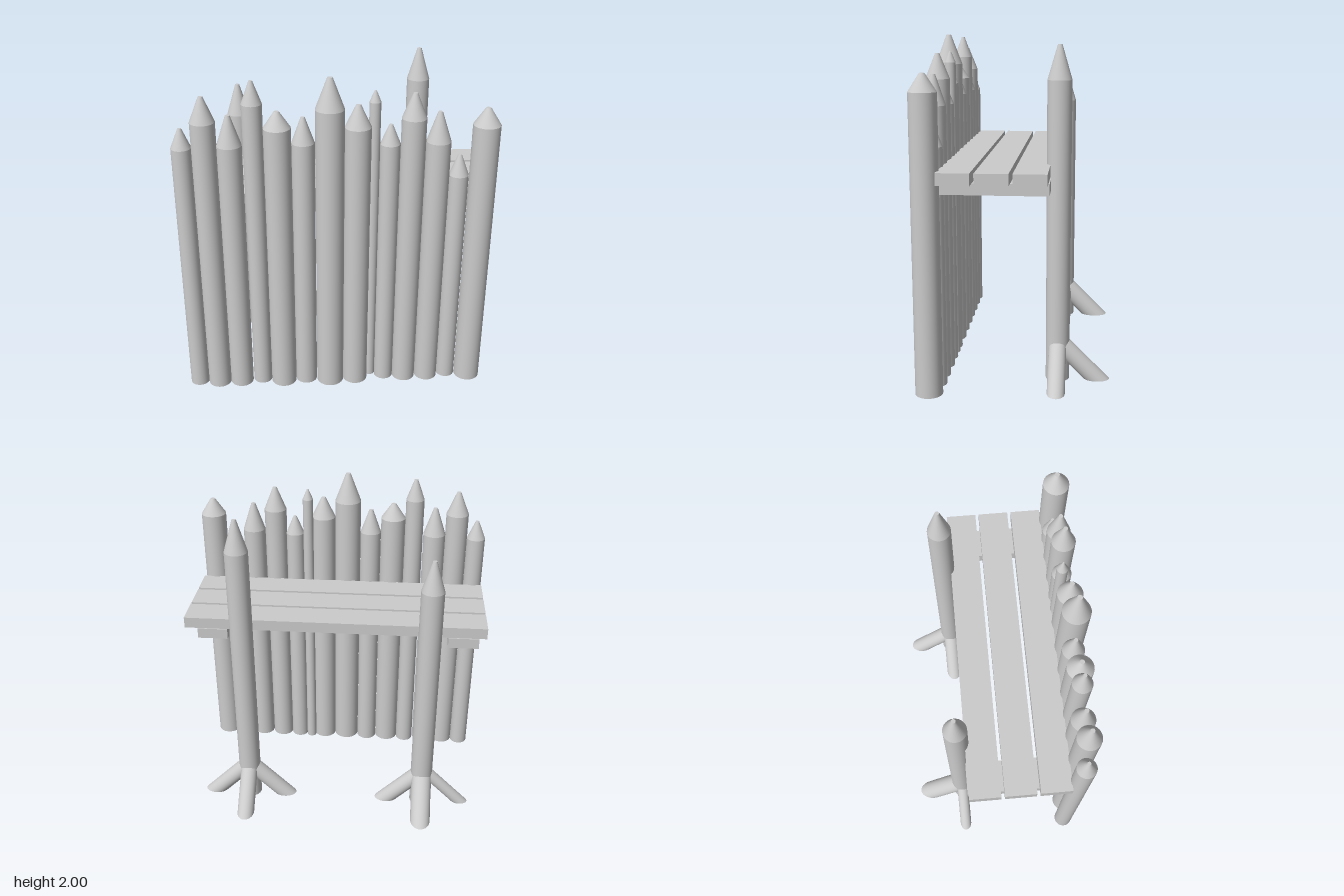
import * as THREE from 'three';
import { mergeGeometries } from 'three/addons/utils/BufferGeometryUtils.js';

const material = new THREE.MeshStandardMaterial({ color: 0xcccccc, side: THREE.DoubleSide });
const SIDES = 32;

function addMesh(parent, name, geometry, x, y, z) {
  const mesh = new THREE.Mesh(geometry, material);
  mesh.name = name;
  mesh.position.set(x, y, z);
  parent.add(mesh);
  return mesh;
}

// Hollow-bottomed log: straight shaft, tapered point, tiny blunt tip
function sharpenedLog(r, shoulder, tip) {
  const tipR = r * 0.18;
  const shaft = new THREE.CylinderGeometry(r, r, shoulder, SIDES, 1, true).translate(0, shoulder / 2, 0);
  const point = new THREE.CylinderGeometry(tipR, r, tip - shoulder, SIDES, 1, true)
    .translate(0, (tip + shoulder) / 2, 0);
  const end = new THREE.CircleGeometry(tipR, SIDES).rotateX(-Math.PI / 2).translate(0, tip, 0);
  return mergeGeometries([shaft, point, end]);
}

// 45 degree round strut along +x: cut level at the ground, upright at the post axis
function strut(r, reach) {
  const g = new THREE.CylinderGeometry(1, 1, 1, SIDES, 1, true, -Math.PI / 2);
  const p = g.attributes.position;
  for (let i = 0; i < p.count; i++) {
    const d = reach + Math.SQRT2 * r * (p.getX(i) - 1);
    const top = p.getY(i) > 0;
    p.setXYZ(i, top ? 0 : d, top ? d : 0, r * p.getZ(i));
  }
  g.computeVertexNormals();
  return g;
}

export function createModel() {
  const model = new THREE.Group();
  model.name = 'palisade';

  // Wall of logs, all flush along their back: x, radius, shoulder height, tip height
  const wall = new THREE.Group();
  wall.name = 'logWall';
  model.add(wall);
  const logs = [
    [-0.868, 0.058, 1.6, 1.715], [-0.74, 0.071, 1.755, 1.9], [-0.6, 0.071, 1.615, 1.79],
    [-0.467, 0.058, 1.85, 1.98], [-0.332, 0.078, 1.715, 1.81], [-0.188, 0.066, 1.62, 1.77],
    [-0.038, 0.083, 1.82, 2.0], [0.12, 0.076, 1.71, 1.84], [0.217, 0.033, 1.84, 1.905],
    [0.305, 0.058, 1.6, 1.715], [0.433, 0.071, 1.755, 1.9], [0.577, 0.071, 1.615, 1.79],
    [0.707, 0.057, 1.4, 1.525], [0.843, 0.079, 1.71, 1.81],
  ];
  for (const [x, r, shoulder, tip] of logs)
    addMesh(wall, 'wallLog', sharpenedLog(r, shoulder, tip), x, 0, 0.39 + r);

  // Walkway: three planks resting on two cross beams
  const walkway = new THREE.Group();
  walkway.name = 'walkway';
  model.add(walkway);
  for (const z of [0.305, 0.097, -0.11])
    addMesh(walkway, 'plank', new THREE.BoxGeometry(1.846, 0.068, 0.186), -0.002, 1.254, z);
  for (const x of [-0.787, 0.748])
    addMesh(walkway, 'crossBeam', new THREE.BoxGeometry(0.185, 0.065, 0.605), x, 1.187, 0.093);

  // Rear posts, each with three struts: radius, reach, heading
  const back = Math.PI / 2;
  const posts = [
    { name: 'leftPost', x: 0.56, shoulder: 1.76, tip: 1.955,
      struts: [[0.052, 0.307, 0], [0.052, 0.307, Math.PI], [0.054, 0.307, back]] },
    { name: 'rightPost', x: -0.582, shoulder: 1.55, tip: 1.74,
      struts: [[0.052, 0.303, 0], [0.038, 0.313, Math.PI], [0.064, 0.307, back]] },
  ];
  for (const { name, x, shoulder, tip, struts } of posts) {
    const post = new THREE.Group();
    post.name = name;
    post.position.set(x, 0, -0.25);
    model.add(post);
    addMesh(post, 'postLog', sharpenedLog(0.07, shoulder, tip), 0, 0, 0);
    for (const [r, reach, heading] of struts)
      addMesh(post, 'strut', strut(r, reach), 0, 0, 0).rotation.y = heading;
  }
  return model;
}
